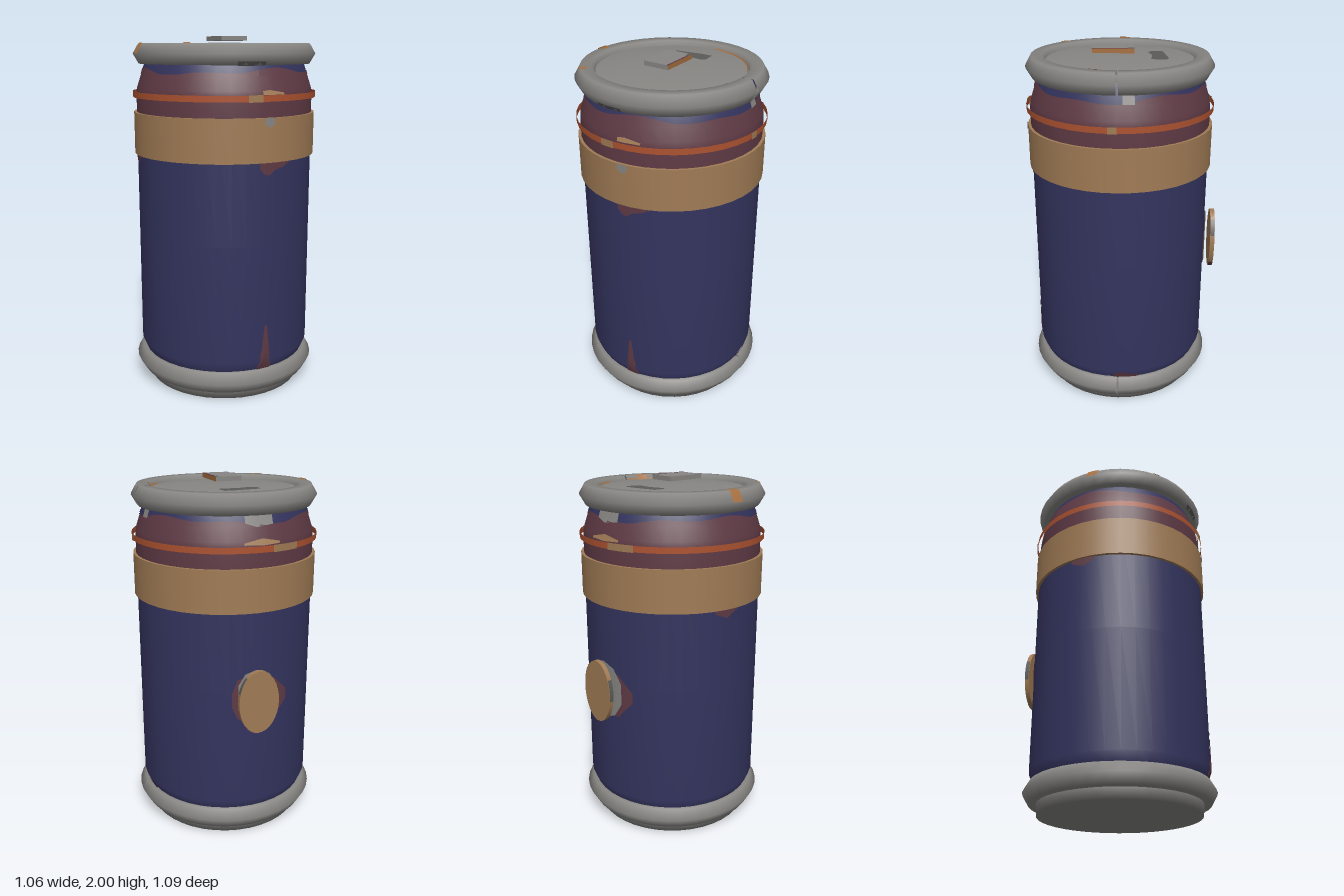
import * as THREE from 'three';

const SEG = 40;
const mat = (name, color, side = THREE.FrontSide) => {
  const m = new THREE.MeshStandardMaterial({ color, side });
  m.name = name;
  return m;
};
const V = (pts) => pts.map(([x, y]) => new THREE.Vector2(x, y));

// Radius of the can wall at a height
const wall = [[0.475, 0.17], [0.5, 0.23], [0.5, 1.7], [0.45, 1.86]];
function wallRadius(y) {
  for (let i = 1; i < wall.length; i++) {
    const [r0, y0] = wall[i - 1], [r1, y1] = wall[i];
    if (y <= y1) return r0 + (r1 - r0) * Math.max(0, (y - y0) / (y1 - y0));
  }
  return 0.45;
}

export function createModel() {
  const D = THREE.DoubleSide;
  const blue = mat('navy paint', 0x34345f, D);
  const maroon = mat('maroon paint', 0x5f3a45, D);
  const gold = mat('tan band', 0xa07b55, D);
  const orange = mat('orange stripe', 0xac5230, D);
  const steel = mat('steel', 0x878683, D);
  const dark = mat('dark grime', 0x5a5a59, D);
  const rust = mat('rust', 0xa56f40, D);

  const model = new THREE.Group();
  const can = new THREE.Group();
  can.name = 'can';
  can.position.z = 0.013;
  model.add(can);

  const add = (name, geo, material) => {
    const m = new THREE.Mesh(geo, material);
    m.name = name;
    can.add(m);
    return m;
  };
  const lathe = (name, material, pts, start = 0, len = Math.PI * 2) =>
    add(name, new THREE.LatheGeometry(V(pts), Math.max(2, Math.ceil(SEG * len / 6.284)), start, len), material);

  // Thin plate hugging the wall; columns are [angle, low, high], angle 0 is the front
  function stain(name, material, cols, lift = 0.004, radius = wallRadius) {
    const rows = 5, pos = [], idx = [];
    cols.forEach(([a, y0, y1], i) => {
      for (let j = 0; j <= rows; j++) {
        const y = y0 + (y1 - y0) * j / rows, r = radius(y) + lift;
        pos.push(r * Math.sin(a), y, r * Math.cos(a));
        if (i && j) {
          const d = i * (rows + 1) + j, c = d - 1, b = d - rows - 1, e = b - 1;
          idx.push(e, c, b, c, d, b);
        }
      }
    });
    const g = new THREE.BufferGeometry();
    g.setAttribute('position', new THREE.Float32BufferAttribute(pos, 3));
    g.setIndex(idx);
    g.computeVertexNormals();
    add(name, g, material);
  }

  // Wall, shoulder, base and lid
  lathe('body', blue, [wall[0], wall[1], [0.5, 0.9], [0.5, 1.58]]);
  lathe('shoulder', maroon, [[0.5, 1.57], [0.5, 1.68], [0.495, 1.72], [wallRadius(1.8), 1.8]]);
  lathe('neck', blue, [[wallRadius(1.8), 1.8], [0.45, 1.86], [0.43, 1.9]]);
  lathe('base', steel, [[0, 0], [0.45, 0], [0.456, 0.06], [0.456, 0.12]]);
  lathe('lid', steel, [[0.43, 1.9], [0.43, 1.932], [0.2, 1.942], [0, 1.95]]);

  // Bands
  lathe('wideBand', gold, [[0.49, 1.35], [0.516, 1.35]]);
  lathe('wideBand', gold, [[0.516, 1.35], [0.516, 1.584]]);
  lathe('wideBand', gold, [[0.516, 1.584], [0.49, 1.584]]);
  lathe('thinStripe', orange, [[0.52, 1.667], [0.52, 1.7]]);

  // Rolled rims, split by a narrow seam on the +x side
  const rim = (name, R, r, y) => {
    const g = new THREE.TorusGeometry(R, r, 6, SEG, Math.PI * 2 - 0.022);
    g.rotateX(Math.PI / 2).rotateY(-0.011);
    add(name, g, steel).position.y = y;
  };
  rim('topRim', 0.452, 0.0635, 1.905);
  rim('bottomRim', 0.464, 0.0665, 0.118);

  // Uneven paint edge along the neck
  const edge = [];
  for (let i = 0; i <= 72; i++) {
    const a = i / 72 * Math.PI * 2;
    edge.push([a, 1.795, 1.815 + 0.012 * Math.sin(3 * a + 1) + 0.009 * Math.sin(7 * a)]);
  }
  stain('neckPaintEdge', maroon, edge, 0.003);

  // Stains on the wall
  stain('frontStreak', maroon, [[0.0, 0.175, 0.19], [0.04, 0.175, 0.3], [0.07, 0.175, 0.44],
    [0.1, 0.175, 0.44], [0.13, 0.175, 0.3], [0.17, 0.175, 0.2]]);
  stain('frontSmear', maroon, [[-0.01, 1.32, 1.36], [0.04, 1.29, 1.36], [0.1, 1.28, 1.36],
    [0.18, 1.31, 1.36], [0.28, 1.32, 1.36], [0.36, 1.34, 1.36]]);
  stain('sideSmear', maroon, [[1.52, 0.175, 0.21], [1.62, 0.175, 0.22], [1.75, 0.175, 0.2], [1.82, 0.175, 0.2]]);
  stain('sideScrape', steel, [[1.63, 1.8, 1.85], [1.76, 1.8, 1.85]]);
  stain('backScrape', steel, [[3.02, 1.81, 1.85], [3.15, 1.79, 1.85], [3.35, 1.8, 1.85]]);
  stain('shoulderChip', gold, [[0.02, 1.7, 1.72], [0.1, 1.7, 1.725], [0.28, 1.7, 1.71]]);
  stain('backChip', gold, [[3.0, 1.705, 1.715], [3.2, 1.7, 1.735], [3.4, 1.705, 1.715]]);
  stain('backSmear', maroon, [[4.45, 1.33, 1.36], [4.6, 1.3, 1.36], [4.75, 1.34, 1.36]]);
  stain('bandChip', steel, [[0.03, 1.55, 1.584], [0.09, 1.535, 1.584], [0.14, 1.55, 1.584]], 0.004, () => 0.516);
  for (const [a, b] of [[-0.15, 0], [1.48, 1.57], [3.3, 3.6]])
    stain('stripeChip', gold, [[a, 1.665, 1.702], [(a + b) / 2, 1.665, 1.702], [b, 1.665, 1.702]], 0.003, () => 0.52);

  // Worn paint behind the badge
  stain('badgeStain', maroon, [[2.88, 0.82, 0.9], [2.94, 0.75, 0.98], [3.14, 0.7, 1.0],
    [3.36, 0.72, 0.97], [3.46, 0.78, 0.92], [3.54, 0.82, 0.88]]);
  stain('badgeScrape', steel, [[2.95, 0.8, 0.95], [3.02, 0.71, 1.01], [3.14, 0.69, 1.03],
    [3.3, 0.72, 1.0], [3.4, 0.8, 0.92]], 0.007);

  // Blotches on the top rim
  const rimTop = [[0.488, 1.958], [0.484, 1.963], [0.45, 1.963]];
  const rimOuter = [[0.518, 1.905], [0.486, 1.963], [0.45, 1.963]];
  const rimInner = [[0.423, 1.962], [0.414, 1.957], [0.388, 1.91]];
  lathe('rimRust', rust, rimOuter, 4.62, 0.13);
  lathe('rimRust', rust, rimTop, -0.83, 0.08);
  lathe('rimRust', rust, rimInner, 1.23, 0.14);
  lathe('innerRust', rust, [[0.404, 1.943], [0.399, 1.937]], 1.93, 1.15);
  lathe('innerRust', rust, [[0.404, 1.943], [0.399, 1.937]], 0.9, 0.65);
  lathe('rimGrime', dark, [[0.482, 1.847], [0.496, 1.868]], -0.25, 0.31);

  // Grime on the lid
  const blot = new THREE.Shape(V([[-0.13, 0.17], [-0.1, 0.15], [-0.02, 0.175], [0.08, 0.168],
    [0.097, 0.19], [0.09, 0.26], [0.03, 0.26], [-0.06, 0.245], [-0.125, 0.235]]));
  add('lidGrime', new THREE.ShapeGeometry(blot).rotateX(-Math.PI / 2), dark).position.y = 1.947;

  // Pull tab with worn edge
  add('tab', new THREE.BoxGeometry(0.15, 0.025, 0.226), [rust, steel, steel, steel, steel, steel])
    .position.set(0, 1.9865, 0.035);
  add('tabEdge', new THREE.BoxGeometry(0.008, 0.002, 0.19), maroon).position.set(0.071, 1.999, 0.053);
  add('tabChip', new THREE.BoxGeometry(0.018, 0.002, 0.035), dark).position.set(0.066, 1.999, -0.06);

  // Oval badge standing off the back
  const badge = new THREE.Group();
  badge.name = 'badge';
  badge.position.set(0, 0.86, -0.545);
  badge.scale.set(0.115, 0.18, 1);
  can.add(badge);
  const disc = new THREE.Mesh(new THREE.CylinderGeometry(1, 1, 0.026, 32).rotateX(Math.PI / 2), gold);
  disc.name = 'badgeDisc';
  badge.add(disc);
  for (const [m, start, len] of [[dark, 1.9, 0.6], [dark, -2.1, 0.7], [maroon, 0.1, 0.7]]) {
    const g = new THREE.CylinderGeometry(1.015, 1.015, 0.024, 6, 1, true, start, len);
    const p = new THREE.Mesh(g.rotateX(Math.PI / 2), m);
    p.name = 'badgeEdgeWear';
    badge.add(p);
  }
  return model;
}
